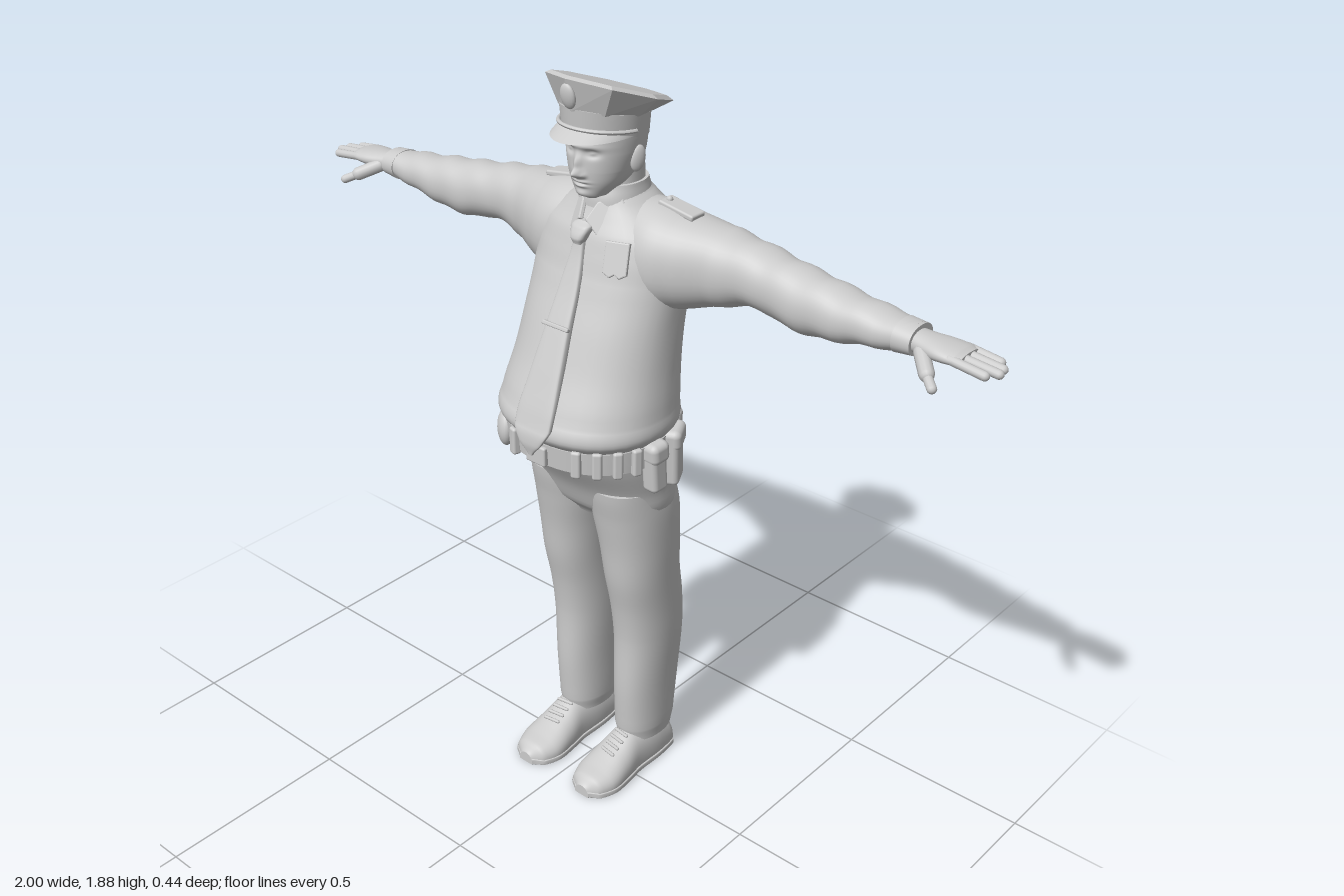
import * as THREE from 'three';
import { RoundedBoxGeometry } from 'three/addons/geometries/RoundedBoxGeometry.js';

const grey = new THREE.MeshStandardMaterial({ color: 0xcccccc, side: THREE.DoubleSide });
const faceted = new THREE.MeshStandardMaterial({ color: 0xcccccc, flatShading: true });

// Skin over rounded cross-sections; each row is [t, u0, u1, v0, v1] along the axis.
// Axis order: y -> (x, z), x -> (z, y), z -> (y, x).
function loft(rows, { axis = 'y', seg = 40, steps = 5, p = 2.2 } = {}) {
  const put = { y: (t, u, v) => [u, t, v], x: (t, u, v) => [t, v, u], z: (t, u, v) => [v, u, t] }[axis];
  const at = (k, c) => rows[Math.max(0, Math.min(rows.length - 1, k))][c];
  const pos = [], idx = [], n = (rows.length - 1) * steps;
  const pow = (c) => Math.sign(c) * Math.abs(c) ** (2 / p);
  const sample = (i) => {
    const k = Math.min(Math.floor(i / steps), rows.length - 2), f = i / steps - k;
    return [0, 1, 2, 3, 4].map((c) => {
      const a = at(k, c), b = at(k + 1, c);
      if (c === 0 || steps === 1) return a + (b - a) * f;
      const m0 = (b - at(k - 1, c)) / 2, m1 = (at(k + 2, c) - a) / 2;
      return a + m0 * f + (3 * (b - a) - 2 * m0 - m1) * f * f + (2 * (a - b) + m0 + m1) * f ** 3;
    });
  };
  const ring = (i) => {
    const [t, u0, u1, v0, v1] = sample(i);
    for (let j = 0; j < seg; j++) {
      const a = (j / seg) * Math.PI * 2;
      pos.push(...put(t, (u0 + u1) / 2 + ((u1 - u0) / 2) * pow(Math.cos(a)), (v0 + v1) / 2 + ((v1 - v0) / 2) * pow(Math.sin(a))));
    }
  };
  for (let i = 0; i <= n; i++) ring(i);
  for (let i = 0; i < n; i++) for (let j = 0; j < seg; j++) {
    const a = i * seg + j, b = i * seg + ((j + 1) % seg);
    idx.push(a, a + seg, b, b, a + seg, b + seg);
  }
  for (const i of [0, n]) { // end caps
    const base = pos.length / 3, [t, u0, u1, v0, v1] = sample(i);
    ring(i);
    pos.push(...put(t, (u0 + u1) / 2, (v0 + v1) / 2));
    for (let j = 0; j < seg; j++) {
      const a = base + j, b = base + ((j + 1) % seg);
      idx.push(base + seg, ...(i ? [b, a] : [a, b]));
    }
  }
  const g = new THREE.BufferGeometry();
  g.setAttribute('position', new THREE.Float32BufferAttribute(pos, 3));
  g.setIndex(idx);
  g.computeVertexNormals();
  return g;
}

// Move every vertex by a rule.
function warp(g, rule) {
  const q = g.attributes.position, v = new THREE.Vector3();
  for (let i = 0; i < q.count; i++) { v.fromBufferAttribute(q, i); rule(v); q.setXYZ(i, v.x, v.y, v.z); }
  g.computeVertexNormals();
  return g;
}

function mirrored(g) {
  const m = g.clone(), ix = m.index ? [...m.index.array] : [...Array(m.attributes.position.count).keys()];
  for (let i = 0; i < ix.length; i += 3) [ix[i], ix[i + 1]] = [ix[i + 1], ix[i]];
  m.setIndex(ix);
  for (const k of ['position', 'normal']) {
    const a = m.attributes[k];
    for (let i = 0; i < a.count; i++) a.setX(i, -a.getX(i));
  }
  return m;
}

const sym = (rows) => rows.map(([t, w, a, b]) => [t, -w, w, a, b]);

// Rounded rod between two points, e.g. fingers.
function rod(a, b, r) {
  const A = new THREE.Vector3(...a), B = new THREE.Vector3(...b), d = B.clone().sub(A);
  const g = new THREE.CapsuleGeometry(r, d.length(), 5, 12);
  g.applyQuaternion(new THREE.Quaternion().setFromUnitVectors(new THREE.Vector3(0, 1, 0), d.normalize()));
  return g.translate(...A.add(B).multiplyScalar(0.5).toArray());
}

function plate(points, depth) {
  const s = new THREE.Shape(points.map((q) => new THREE.Vector2(...q)));
  return new THREE.ExtrudeGeometry(s, { depth, bevelEnabled: true, bevelSize: 0.003, bevelThickness: 0.003, bevelSegments: 2 });
}

const place = (g, x, y, z, rx = 0, ry = 0, rz = 0) => g
  .applyMatrix4(new THREE.Matrix4().makeRotationFromEuler(new THREE.Euler(rx, ry, rz, 'YXZ'))).translate(x, y, z);

export function createModel() {
  const model = new THREE.Group();
  const add = (name, g, mat = grey) => {
    const m = new THREE.Mesh(g, mat);
    m.name = name;
    model.add(m);
  };
  const pair = (name, g) => { add('left' + name, g); add('right' + name, mirrored(g)); };

  // Shirt body, heavy over the belt
  add('shirt', loft(sym([[1.025, 0.2, -0.16, 0.185], [1.06, 0.222, -0.182, 0.208], [1.1, 0.218, -0.182, 0.195],
    [1.2, 0.206, -0.188, 0.15], [1.3, 0.2, -0.2, 0.112], [1.4, 0.2, -0.214, 0.072], [1.46, 0.198, -0.215, 0.052],
    [1.51, 0.18, -0.207, 0.036], [1.55, 0.135, -0.19, 0.014], [1.585, 0.088, -0.168, 0], [1.605, 0.07, -0.155, -0.01]])));

  // Sleeves with soft folds, cuffs and hands
  pair('Sleeve', warp(loft([[0.06, -0.195, 0, 1.34, 1.582], [0.14, -0.212, 0.015, 1.33, 1.578], [0.2, -0.214, 0, 1.342, 1.566],
    [0.3, -0.208, -0.045, 1.37, 1.548], [0.4, -0.203, -0.062, 1.392, 1.53], [0.47, -0.2, -0.06, 1.377, 1.518],
    [0.55, -0.194, -0.06, 1.374, 1.508], [0.65, -0.185, -0.065, 1.39, 1.493], [0.75, -0.174, -0.074, 1.408, 1.482],
    [0.79, -0.167, -0.078, 1.414, 1.476]], { axis: 'x' }), (v) => {
    if (v.x > 0.3) v.y += 0.003 * Math.sin(v.x * 62 + v.z * 25);
  }));
  pair('Cuff', loft([[0.755, -0.172, -0.072, 1.407, 1.482], [0.797, -0.169, -0.076, 1.411, 1.478]], { axis: 'x', steps: 1 }));
  pair('Palm', loft([[0.77, -0.15, -0.09, 1.42, 1.47], [0.82, -0.155, -0.08, 1.42, 1.467], [0.86, -0.163, -0.07, 1.424, 1.465],
    [0.9, -0.165, -0.071, 1.428, 1.46], [0.915, -0.157, -0.08, 1.433, 1.455]], { axis: 'x' }));
  [[-0.155, 0.965], [-0.13, 0.985], [-0.106, 0.99], [-0.081, 0.972]].forEach(([z, tip], i) =>
    pair('Finger' + (i + 1), rod([0.89, 1.445, z], [tip, 1.434, z * 1.02], 0.0105)));
  pair('ThumbBase', rod([0.82, 1.435, -0.09], [0.86, 1.413, -0.05], 0.017));
  pair('Thumb', rod([0.855, 1.415, -0.053], [0.888, 1.398, -0.027], 0.011));

  // Trousers
  add('trouserSeat', loft(sym([[0.765, 0.11, -0.14, 0.02], [0.81, 0.185, -0.168, 0.058], [0.88, 0.195, -0.166, 0.09],
    [0.95, 0.2, -0.16, 0.135], [1.03, 0.2, -0.155, 0.18]])));
  pair('TrouserLeg', loft([[0.085, 0.042, 0.155, -0.18, -0.015], [0.12, 0.036, 0.16, -0.187, -0.008], [0.25, 0.035, 0.165, -0.198, 0],
    [0.4, 0.03, 0.174, -0.205, 0], [0.5, 0.027, 0.178, -0.198, 0.012], [0.6, 0.022, 0.183, -0.18, 0.033],
    [0.7, 0.012, 0.188, -0.175, 0.046], [0.8, 0, 0.19, -0.17, 0.064], [0.88, 0.005, 0.185, -0.15, 0.08]]));

  // Shoes, soles and laces
  const shoe = [[-0.175, 0.04, 0.025], [-0.165, 0.08, 0.045], [-0.1, 0.115, 0.053], [-0.02, 0.115, 0.053], [0.03, 0.09, 0.06],
    [0.09, 0.064, 0.064], [0.135, 0.05, 0.048], [0.155, 0.03, 0.02]];
  pair('Shoe', warp(loft(shoe.map(([z, h, w]) => [z, -h * 0.4, h, 0.1 - w, 0.1 + w]), { axis: 'z' }), (v) => { v.y = Math.max(v.y, 0.005); }));
  pair('Sole', loft(shoe.map(([z, , w]) => [z, 0, 0.018, 0.097 - w, 0.103 + w]), { axis: 'z', p: 7 }));
  for (let i = 0; i < 4; i++) {
    const z = -0.005 + i * 0.018, y = 0.114 - i * 0.01;
    pair('Lace' + (i + 1), rod([0.08, y - 0.003, z], [0.12, y - 0.003, z + 0.006], 0.0045));
  }

  // Belt, buckle and the gear hung around it
  add('belt', loft(sym([[0.98, 0.208, -0.168, 0.19], [1.037, 0.21, -0.17, 0.195]]), { steps: 1, seg: 56 }));
  add('buckle', place(new RoundedBoxGeometry(0.06, 0.05, 0.016, 2, 0.005), 0, 1.005, 0.195));
  const hang = (name, a, y, w, h, d, tilt = 0) => {
    const nx = Math.cos(a) / 0.208, nz = Math.sin(a) / 0.18;
    const ry = Math.atan2(nx, nz), out = 0.007;
    add(name, place(new RoundedBoxGeometry(w, h, d, 3, Math.min(w, d) * 0.3), (0.208 + out) * Math.cos(a), y, 0.012 + (0.18 + out) * Math.sin(a), 0, ry, tilt));
  };
  [[0.06, 0.05, 0.13], [-0.42, 0.068, 0.15], [-1, 0.068, 0.135]].forEach(([a, w, h], i) => {
    hang('pouch' + (i + 1), a, 1.045 - h / 2, w, h, 0.045, 0.08);
    hang('pouchFlap' + (i + 1), a, 1.02, w + 0.008, 0.055, 0.056, 0.08);
  });
  [0.34, 0.58, 0.82, 1.06, 1.95, -1.4, -1.75, -2.3].forEach((a, i) => hang('beltKeeper' + (i + 1), a, 1.008, 0.024, 0.07, 0.022));
  hang('holster', Math.PI + 0.02, 0.955, 0.085, 0.15, 0.045, 0.12);
  hang('holsterFlap', Math.PI + 0.02, 1.005, 0.1, 0.075, 0.056, 0.12);
  const cuffCase = new THREE.SphereGeometry(1, 24, 16).scale(0.038, 0.047, 0.022);
  add('roundCase', place(cuffCase, -0.152, 1, 0.142, 0, -0.75));

  // Neck, collar and tie
  add('neck', loft(sym([[1.55, 0.07, -0.15, -0.01], [1.61, 0.066, -0.145, -0.015], [1.68, 0.066, -0.138, -0.02]])));
  add('collarBand', loft(sym([[1.565, 0.085, -0.166, 0.008], [1.59, 0.079, -0.162, 0.006], [1.618, 0.073, -0.153, -0.004]])));
  pair('CollarFlap', place(plate([[0.006, -0.012], [0.03, 0.025], [0.078, 0.05], [0.095, 0.01], [0.046, -0.062]], 0.006), 0, 1.552, 0.027, -0.42, 0.6));
  add('tieKnot', loft(sym([[1.49, 0.014, 0.025, 0.058], [1.505, 0.02, 0.02, 0.062], [1.53, 0.027, 0.01, 0.05], [1.54, 0.02, 0.0, 0.035]]), { p: 3, seg: 20 }));
  add('tie', loft(sym([[1.012, 0.006, 0.212, 0.22], [1.045, 0.034, 0.212, 0.225], [1.085, 0.054, 0.196, 0.215], [1.2, 0.046, 0.145, 0.172],
    [1.3, 0.036, 0.104, 0.13], [1.4, 0.027, 0.064, 0.085], [1.5, 0.015, 0.03, 0.052]]), { p: 4, seg: 28 }));
  add('tieClip', place(new RoundedBoxGeometry(0.08, 0.01, 0.012, 2, 0.003), 0, 1.31, 0.126, -0.38));

  // Chest badge and shoulder straps
  add('chestBadge', place(plate([[-0.026, 0.038], [0.026, 0.038], [0.026, -0.03], [0.012, -0.038], [0, -0.03], [-0.012, -0.038], [-0.026, -0.03]], 0.008), 0.1, 1.47, 0.03, -0.32, 0.35));
  pair('ShoulderStrap', place(new RoundedBoxGeometry(0.1, 0.014, 0.048, 3, 0.005), 0.172, 1.573, -0.105, 0, 0, -0.16));
  pair('StrapButton', place(new THREE.SphereGeometry(0.008, 12, 8), 0.138, 1.586, -0.105));

  // Head, its face shaped by soft bumps: [x, y, width, height, depth]
  const bumps = [[0, 1.656, 0.011, 0.011, 0.024], [0, 1.68, 0.009, 0.019, 0.014], [0, 1.719, 0.05, 0.007, 0.005],
    [0, 1.636, 0.02, 0.004, 0.006], [0, 1.625, 0.017, 0.004, 0.006], [0, 1.631, 0.018, 0.002, -0.003], [0, 1.605, 0.02, 0.009, 0.006]];
  for (const s of [-1, 1]) bumps.push([s * 0.033, 1.704, 0.015, 0.009, -0.011], [s * 0.033, 1.704, 0.009, 0.005, 0.007], [s * 0.014, 1.652, 0.006, 0.006, 0.006]);
  add('head', warp(loft(sym([[1.59, 0.018, -0.02, 0.018], [1.6, 0.038, -0.05, 0.034], [1.63, 0.062, -0.1, 0.042], [1.66, 0.075, -0.128, 0.046],
    [1.7, 0.084, -0.14, 0.047], [1.75, 0.087, -0.14, 0.048], [1.79, 0.08, -0.12, 0.035]]), { seg: 120, steps: 16 }), (v) => {
    if (v.z < -0.01) return;
    for (const [x, y, w, h, d] of bumps) v.z += d * Math.exp(-(((v.x - x) / w) ** 2) - ((v.y - y) / h) ** 2);
  }));
  pair('Ear', place(new THREE.SphereGeometry(1, 16, 12).scale(0.009, 0.031, 0.019), 0.085, 1.683, -0.055, -0.15, -0.35));

  // Peaked cap: sloping band, eight-sided crown, visor and badge
  const slope = (v) => { v.y += (v.z + 0.05) * (0.16 + 0.19 * Math.min(1, Math.max(0, (v.y - 1.785) / 0.045))); };
  add('capBand', warp(loft(sym([[1.735, 0.092, -0.148, 0.062], [1.787, 0.096, -0.152, 0.068]]), { steps: 1, p: 2 }), slope));
  add('capCrown', warp(loft(sym([[1.783, 0.097, -0.155, 0.07], [1.83, 0.138, -0.203, 0.09], [1.838, 0.124, -0.188, 0.078]]),
    { steps: 1, seg: 8, p: 2 }), slope), faceted);
  add('capVisor', warp(new THREE.PlaneGeometry(1, 1, 28, 5), (v) => {
    const a = (0.5 - v.x) * Math.PI, s = v.y + 0.5, k = Math.sin(a);
    v.set(0.094 * Math.cos(a), 1.742 + 0.022 * k - 0.024 * s * k, -0.03 + 0.094 * k + 0.042 * s * k);
  }));
  add('capStrap', warp(new THREE.TorusGeometry(0.097, 0.005, 8, 40, Math.PI).rotateX(Math.PI / 2), (v) => { v.z = v.z * 1.05 - 0.035; v.y += 1.757 + 0.1 * v.z; }));
  add('capBadge', place(new THREE.SphereGeometry(1, 18, 12).scale(0.021, 0.03, 0.01), 0, 1.838, 0.08, 0.2));

  return model;
}
